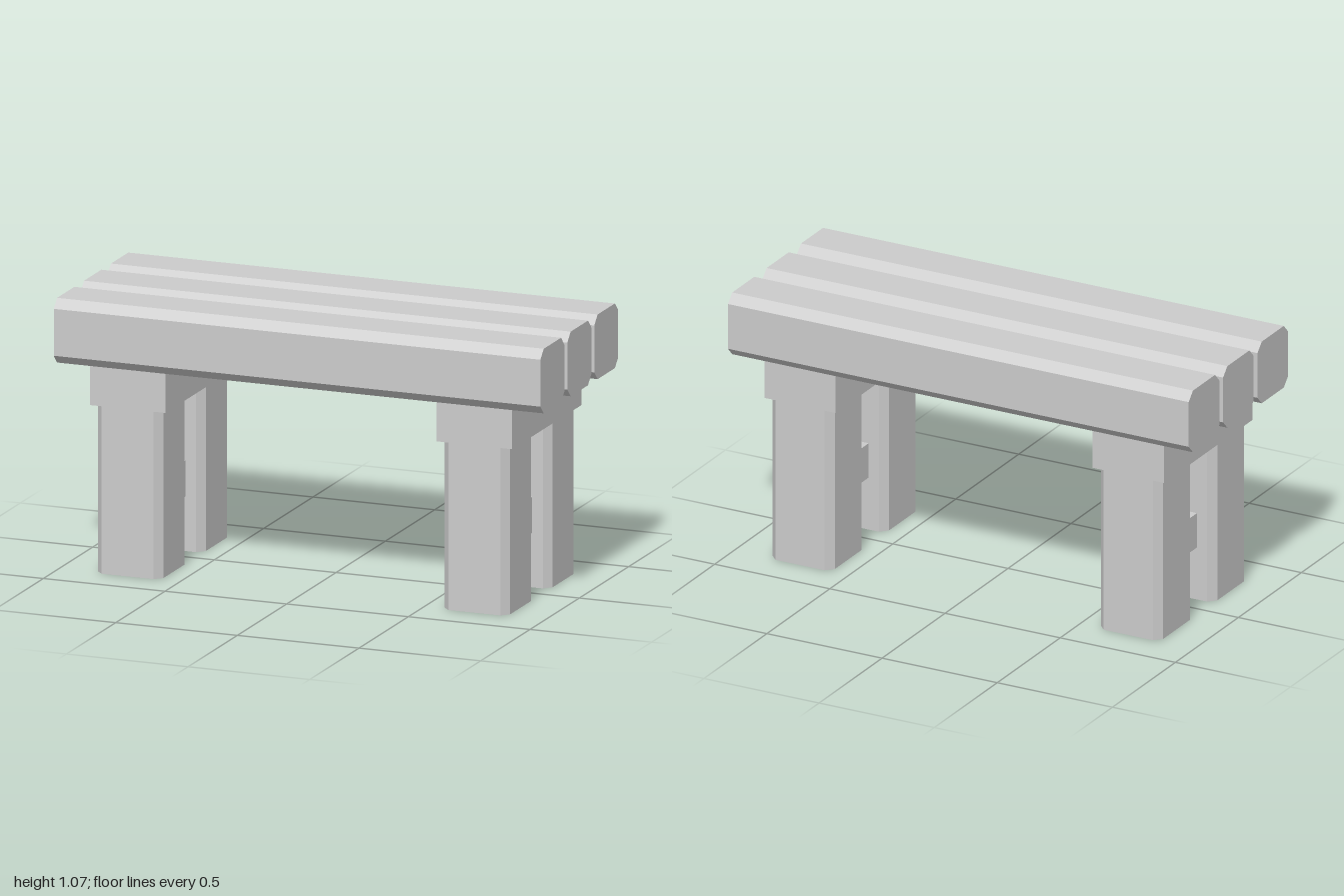
import * as THREE from 'three';

// Rectangle with cut corners, centred on the origin
function chamferedRect(w, h, cw, ch) {
  const x = w / 2, y = h / 2;
  return new THREE.Shape([
    [x - cw, -y], [x, -y + ch], [x, y - ch], [x - cw, y],
    [-x + cw, y], [-x, y - ch], [-x, -y + ch], [-x + cw, -y],
  ].map(([a, b]) => new THREE.Vector2(a, b)));
}

// Extruded along z, centred
function beam(shape, length) {
  const g = new THREE.ExtrudeGeometry(shape, { depth: length, bevelEnabled: false });
  return g.translate(0, 0, -length / 2);
}

export function createModel() {
  const model = new THREE.Group();
  model.name = 'bench';
  const grey = new THREE.MeshStandardMaterial({ color: 0xcccccc });
  grey.name = 'plain grey';

  const add = (parent, name, geometry, x, y, z) => {
    const mesh = new THREE.Mesh(geometry, grey);
    mesh.name = name;
    mesh.position.set(x, y, z);
    parent.add(mesh);
  };

  // Three long seat beams
  const slat = beam(chamferedRect(0.243, 0.255, 0.034, 0.035), 2).rotateY(Math.PI / 2);
  for (const z of [-0.273, 0, 0.273]) add(model, 'seatBeam', slat, 0, 0.9445, z);

  // Two trestles: cross beam, a pair of legs and a stretcher between them
  const leg = beam(chamferedRect(0.27, 0.272, 0.028, 0.03), 0.66).rotateX(-Math.PI / 2);
  const crossBeam = new THREE.BoxGeometry(0.31, 0.159, 0.702);
  const stretcher = new THREE.BoxGeometry(0.126, 0.142, 0.17);
  for (const x of [-0.714, 0.711]) {
    const trestle = new THREE.Group();
    trestle.name = x < 0 ? 'rightTrestle' : 'leftTrestle';
    trestle.position.x = x;
    add(trestle, 'crossBeam', crossBeam, 0, 0.7395, 0);
    for (const side of [1, -1]) add(trestle, side > 0 ? 'frontLeg' : 'backLeg', leg, 0, 0.33, side * 0.215);
    add(trestle, 'stretcher', stretcher, 0, 0.286, 0);
    model.add(trestle);
  }
  return model;
}
